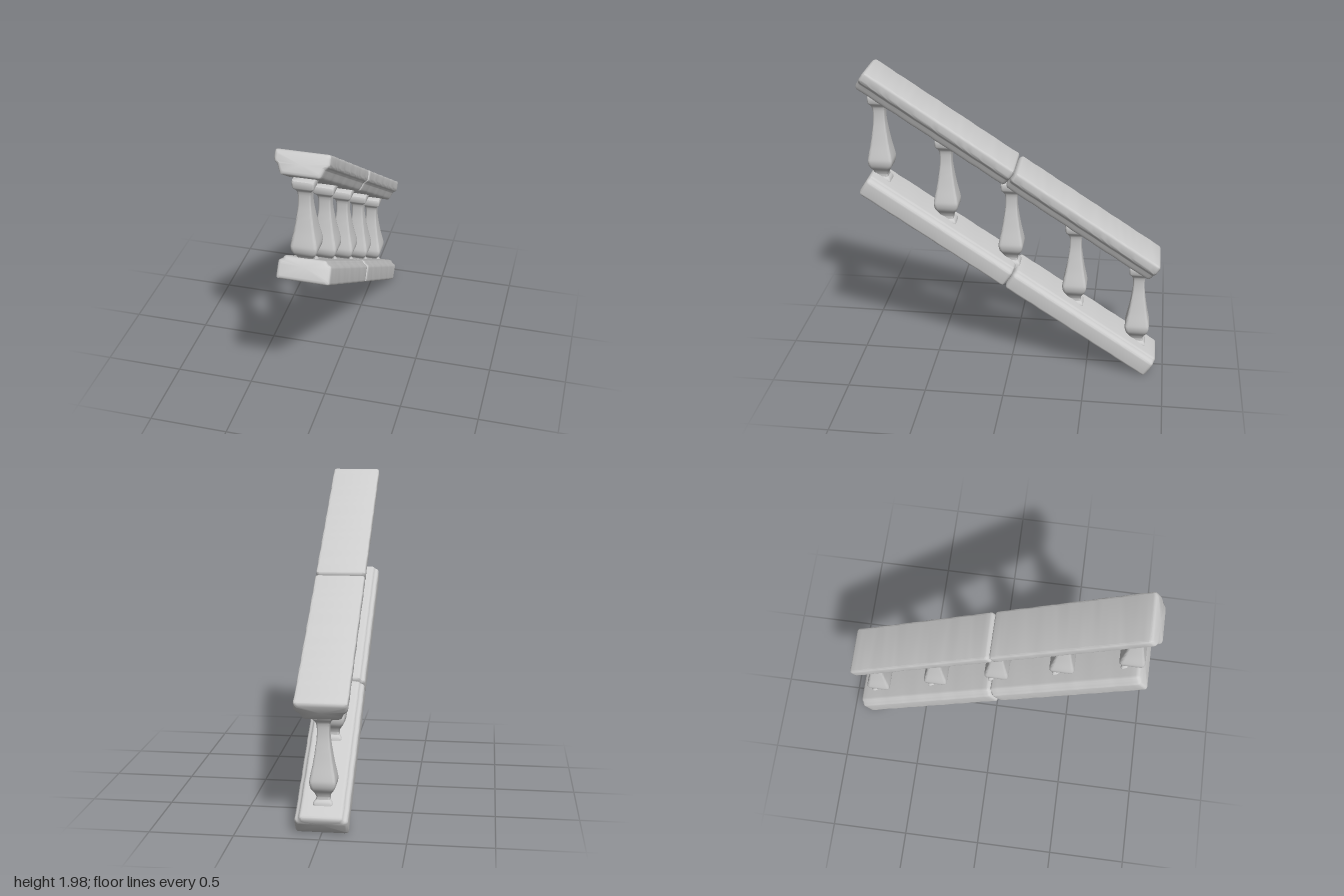
import * as THREE from 'three';
import { toCreasedNormals } from 'three/addons/utils/BufferGeometryUtils.js';

const SLOPE = 0.579; // pitch of the stair
const RAIL_LENGTH = 2.2, RAIL_HALF_WIDTH = 0.158, RAIL_HALF_HEIGHT = 0.07;
const stone = new THREE.MeshStandardMaterial({ color: 0xcccccc, side: THREE.DoubleSide });

// Skins counter-clockwise rings stacked along +z and closes both ends.
function loft(rings, crease) {
  const n = rings[0].length, pos = [], idx = [];
  rings.forEach(r => r.forEach(p => pos.push(p.x, p.y, p.z)));
  for (let i = 0; i < rings.length - 1; i++) {
    for (let j = 0; j < n; j++) {
      const k = (j + 1) % n, a = i * n + j, b = i * n + k;
      idx.push(a, b, b + n, a, b + n, a + n);
    }
  }
  [0, rings.length - 1].forEach((ri, end) => {
    const c = pos.length / 3;
    const mid = rings[ri].reduce((s, p) => s.add(p), new THREE.Vector3()).divideScalar(n);
    pos.push(mid.x, mid.y, mid.z);
    for (let j = 0; j < n; j++) {
      const a = ri * n + j, b = ri * n + (j + 1) % n;
      if (end) idx.push(c, a, b); else idx.push(c, b, a);
    }
  });
  const g = new THREE.BufferGeometry();
  g.setAttribute('position', new THREE.Float32BufferAttribute(pos, 3));
  g.setIndex(idx);
  return toCreasedNormals(g, crease);
}

// Replaces each corner of a closed polygon with a short curve.
function roundCorners(points, radius) {
  const out = [], n = points.length;
  points.forEach((p, i) => {
    const cut = q => p.clone().lerp(q, Math.min(0.45, radius / p.distanceTo(q)));
    const a = cut(points[(i + n - 1) % n]), b = cut(points[(i + 1) % n]);
    out.push(...new THREE.QuadraticBezierCurve(a, p, b).getPoints(3));
  });
  return out;
}

// Mirrors the right half of a section (listed bottom to top).
function mirrored(half) {
  const right = half.map(([x, y]) => new THREE.Vector2(x, y));
  const left = right.map(p => new THREE.Vector2(-p.x, p.y)).reverse();
  return right.concat(left);
}

// Gentle, repeatable weathering of the stone edges.
const wear = (t, side) =>
  Math.sin(t * 31 + side * 2.1) * 0.5 + Math.sin(t * 73 + side * 4.7) * 0.3 + Math.sin(t * 127 + side) * 0.2;

// One worn stone block with softened ends, running from z0 to z1.
function railBlock(name, half, z0, z1) {
  const section = roundCorners(mirrored(half), 0.016);
  const stations = [[z0, 0.02], [z0 + 0.005, 0.009], [z0 + 0.013, 0.002], [z0 + 0.024, 0]];
  const steps = 30;
  for (let i = 1; i < steps; i++) stations.push([THREE.MathUtils.lerp(z0 + 0.024, z1 - 0.024, i / steps), 0]);
  stations.push([z1 - 0.024, 0], [z1 - 0.013, 0.002], [z1 - 0.005, 0.009], [z1, 0.02]);
  const rings = stations.map(([z, inset]) => section.map(p => {
    const side = (p.x > 0 ? 1 : 0) + (p.y > 0 ? 2 : 0);
    const d = inset + 0.0016 * (1 + wear(z, side));
    return new THREE.Vector3(p.x * (1 - d / RAIL_HALF_WIDTH), p.y * (1 - d / RAIL_HALF_HEIGHT), z);
  }));
  const mesh = new THREE.Mesh(loft(rings, 0.6), stone);
  mesh.name = name;
  return mesh;
}

// Two blocks meeting at a narrow joint, tilted to the pitch.
function rail(name, half, y) {
  const g = new THREE.Group();
  g.name = name;
  const end = RAIL_LENGTH / 2;
  g.add(railBlock(name + 'LowerBlock', half, -end, -0.002), railBlock(name + 'UpperBlock', half, 0.002, end));
  g.rotation.x = -SLOPE;
  g.position.y = y;
  return g;
}

// Square vase-shaped baluster: [height, half width] from foot to cap.
function balusterGeometry() {
  const foot = [[0, 0.058], [0.062, 0.058], [0.074, 0.052], [0.084, 0.042]];
  const body = new THREE.SplineCurve([
    [0.1, 0.04], [0.125, 0.05], [0.155, 0.07], [0.19, 0.078], [0.225, 0.074], [0.3, 0.059],
    [0.39, 0.045], [0.46, 0.037], [0.52, 0.037], [0.545, 0.042],
  ].map(p => new THREE.Vector2(...p))).getPoints(27).map(p => [p.x, p.y]);
  const cap = [[0.556, 0.049], [0.566, 0.058], [0.576, 0.063], [0.608, 0.065], [0.617, 0.062], [0.62, 0.055]];
  const rings = [...foot, ...body, ...cap].map(([h, w]) =>
    roundCorners(mirrored([[w, -w], [w, w]]), w * 0.28).map(p => new THREE.Vector3(p.x, p.y, h)));
  return loft(rings, 0.6).rotateX(-Math.PI / 2);
}

export function createModel() {
  const model = new THREE.Group();
  model.name = 'slopedBalustrade';

  // Handrail has a coved underside; the base rail has a raised top step.
  model.add(rail('handrail', [[0.112, -0.07], [0.128, -0.03], [0.134, -0.014], [0.158, 0.004], [0.158, 0.07]], 1.345));
  model.add(rail('baseRail', [[0.158, -0.07], [0.158, 0.04], [0.133, 0.051], [0.124, 0.07]], 0.665));

  // Upright balusters stepping down the slope.
  const geometry = balusterGeometry();
  for (let i = -2; i <= 2; i++) {
    const baluster = new THREE.Mesh(geometry, stone);
    baluster.name = 'baluster' + (i + 3);
    const z = i * 0.4125;
    baluster.position.set(-0.003, 0.661 + z * Math.tan(SLOPE), z + 0.005);
    model.add(baluster);
  }
  return model;
}
